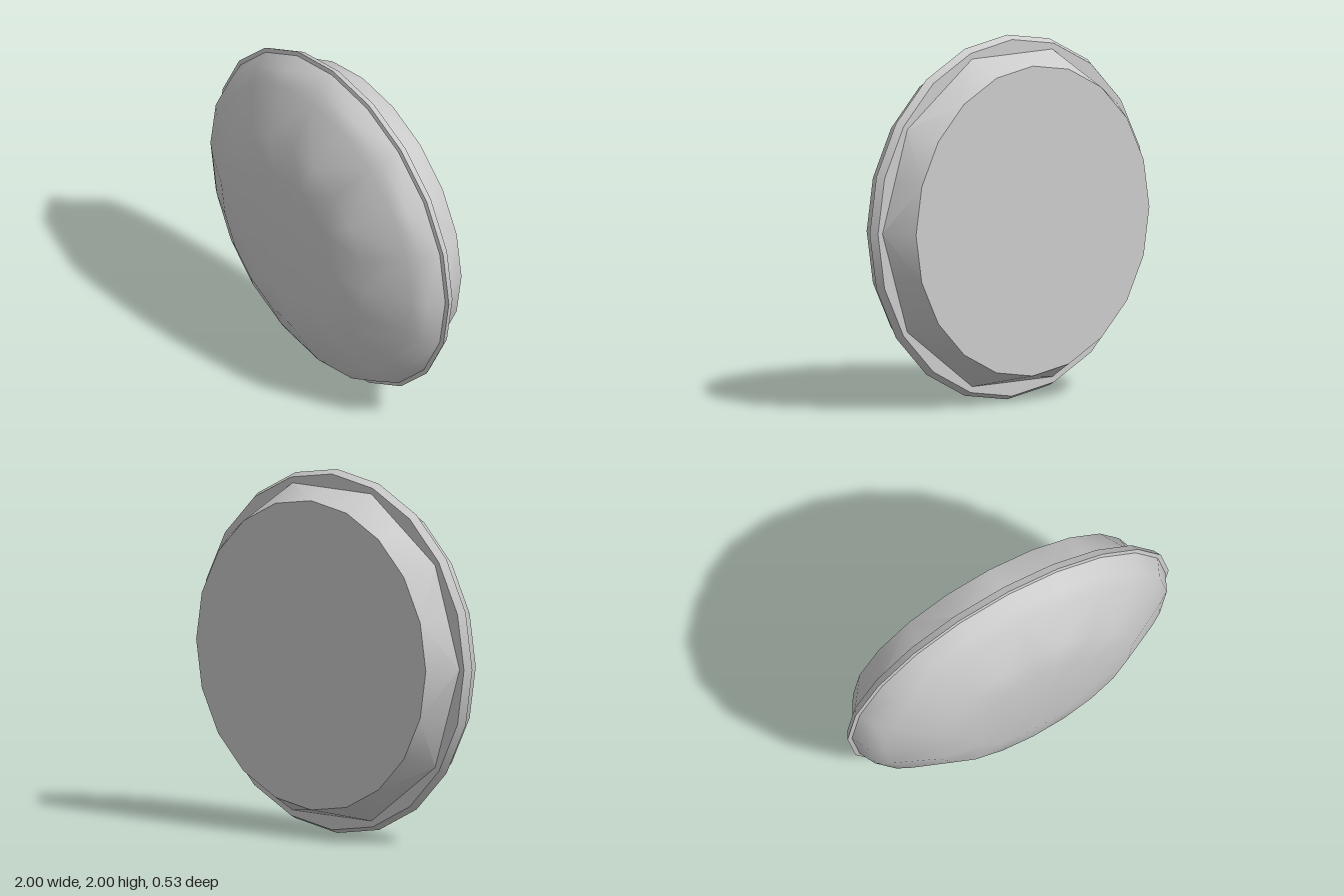
import * as THREE from 'three';
import { toCreasedNormals } from 'three/addons/utils/BufferGeometryUtils.js';

const SIDES = 20;
const STEP = (Math.PI * 2) / SIDES;

// Closed skin through rings listed front to back: [radius, z, decagonal?].
// A decagonal ring keeps every second corner and runs straight between them.
function loft(rings, crease) {
  const positions = [];
  const point = ([r, z, decagonal], i) => {
    const s = decagonal && i % 2 ? r * Math.cos(STEP) : r;
    return [s * Math.cos(i * STEP), 1 + s * Math.sin(i * STEP), z];
  };
  for (let k = 0; k < rings.length - 1; k++) {
    const front = rings[k], back = rings[k + 1];
    for (let i = 0; i < SIDES; i++) {
      const a = point(front, i), b = point(front, i + 1);
      const c = point(back, i), d = point(back, i + 1);
      const even = i % 2 === 0;
      if (back[0] > 0) positions.push(...(even ? [a, c, d] : [b, c, d]).flat());
      if (front[0] > 0) positions.push(...(even ? [a, d, b] : [a, c, b]).flat());
    }
  }
  const geometry = new THREE.BufferGeometry();
  geometry.setAttribute('position', new THREE.Float32BufferAttribute(positions, 3));
  return toCreasedNormals(geometry, crease);
}

export function createModel() {
  const group = new THREE.Group();
  group.name = 'roundDomedDisc';
  const material = new THREE.MeshStandardMaterial({ color: 0xcccccc });
  const add = (name, rings, crease) => {
    const mesh = new THREE.Mesh(loft(rings, crease), material);
    mesh.name = name;
    group.add(mesh);
  };

  // Smooth shallow dome with a flat ten-sided centre
  add('dome', [
    [0, 0.265], [0.4, 0.265, true], [0.615, 0.227], [0.857, 0.095],
    [0.932, 0.046], [0.976, -0.049],
  ], 0.9);

  // Thin sharp lip around the widest point
  add('rim', [
    [0.976, -0.049], [1, -0.055], [0.978, -0.098], [0.88, -0.098],
  ], 0.6);

  // Tapered base, ten-sided at the lip and twenty-sided at the flat back
  add('base', [
    [0.945, -0.098, true], [0.85, -0.265], [0, -0.265],
  ], 0.6);

  return group;
}
